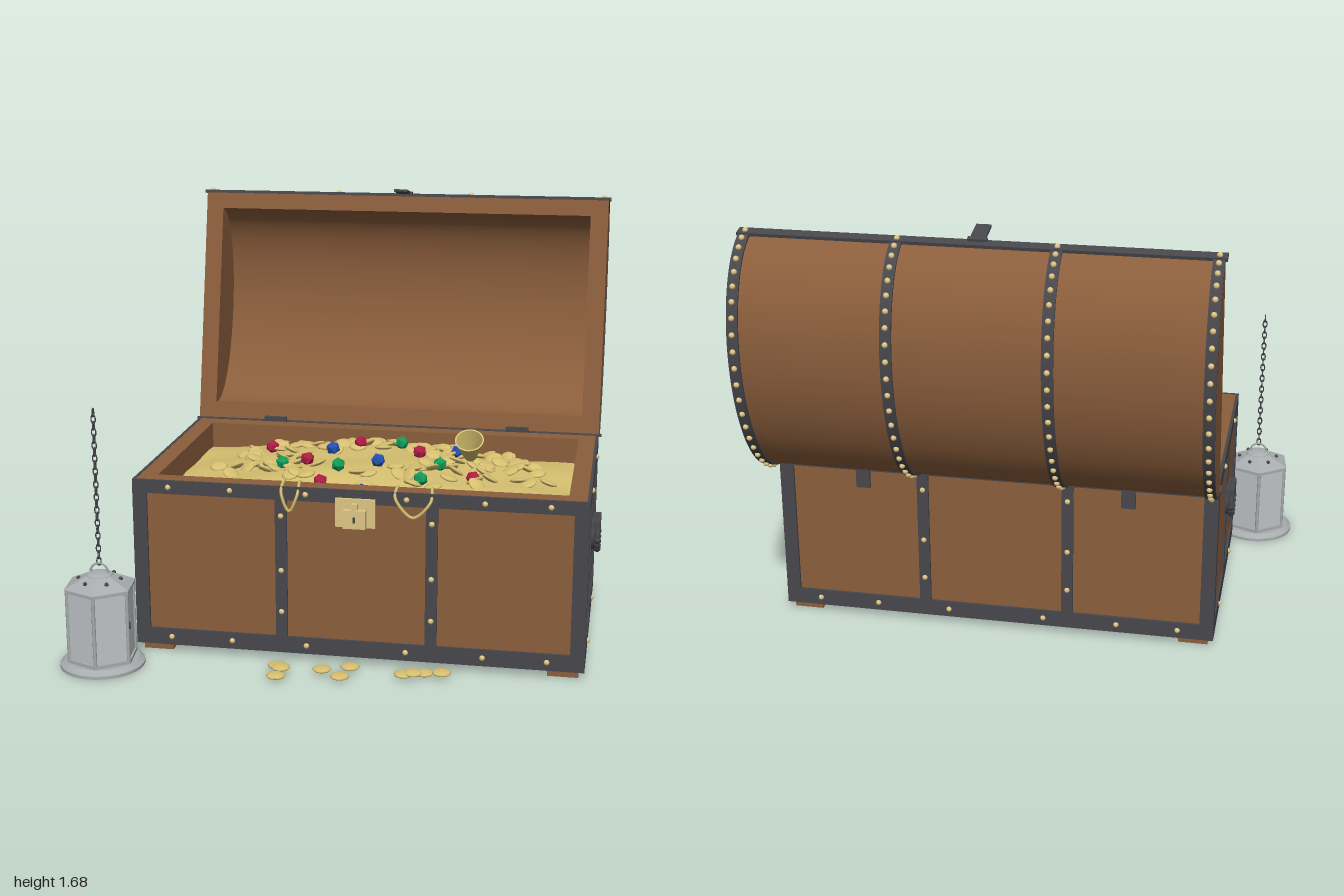
import * as THREE from 'three';
import { toCreasedNormals } from 'three/addons/utils/BufferGeometryUtils.js';

const mat = (name, color, extra = {}) => {
  const m = new THREE.MeshStandardMaterial({ color, ...extra });
  m.name = name;
  return m;
};
const wood = mat('wood', 0x8b5e3c);
const iron = mat('iron', 0x47474c);
const gold = mat('gold', 0xd6bf70, { side: THREE.DoubleSide });
const brass = mat('brass', 0xe0c684);
const silver = mat('silver', 0xa9acae);
const glass = mat('glass', 0xc0c5c8);
const ruby = mat('ruby', 0xb01c44);
const emerald = mat('emerald', 0x129c58);
const sapphire = mat('sapphire', 0x2450b4);

function add(parent, name, geo, material, x = 0, y = 0, z = 0) {
  const m = new THREE.Mesh(geo, material);
  m.name = name;
  m.position.set(x, y, z);
  parent.add(m);
  return m;
}
const box = (p, name, m, w, h, d, x, y, z) => add(p, name, new THREE.BoxGeometry(w, h, d), m, x, y, z);
function group(parent, name, x = 0, y = 0, z = 0) {
  const g = new THREE.Group();
  g.name = name;
  g.position.set(x, y, z);
  parent.add(g);
  return g;
}
let seed = 7;
const rnd = () => (seed = (seed * 16807) % 2147483647) / 2147483647;

const HW = 0.86, HD = 0.481;          // half width and depth of the chest
const Y0 = 0.03, Y1 = 0.69;           // bottom and top of the box
const rivetGeo = new THREE.SphereGeometry(0.011, 10, 6);
const coinGeo = new THREE.SphereGeometry(0.036, 16, 8).scale(1, 0.28, 1);

function buildBox(chest) {
  const h = Y1 - Y0, cy = (Y0 + Y1) / 2, w = HW - 0.01, d = HD - 0.01, t = 0.07;
  box(chest, 'floor', wood, 2 * w, 0.05, 2 * d, 0, Y0 + 0.026, 0);
  for (const s of [-1, 1]) {
    box(chest, 'longWall', wood, 2 * w, h - 0.002, t, 0, cy, s * (d - t / 2));
    box(chest, 'endWall', wood, t, h - 0.002, 2 * (d - t), s * (w - t / 2), cy, 0);
    // iron bands along the bottom and top
    for (const [bh, y] of [[0.065, Y0 + 0.0325], [0.052, Y1 - 0.026]]) {
      box(chest, 'longBand', iron, 2 * HW, bh, 0.012, 0, y, s * (HD - 0.006));
      box(chest, 'endBand', iron, 0.012, bh, 2 * HD, s * (HW - 0.006), y, 0);
      for (const x of [-0.72, -0.48, -0.19, 0.19, 0.48, 0.72]) add(chest, 'rivet', rivetGeo, brass, x, y, s * HD);
      for (const z of [-0.237, 0.237]) add(chest, 'rivet', rivetGeo, brass, s * HW, y, z);
    }
    // upright straps
    for (const x of [-0.285, 0.285]) {
      box(chest, 'strap', iron, 0.045, h, 0.012, x, cy, s * (HD - 0.006));
      for (const y of [0.195, 0.36, 0.575]) add(chest, 'rivet', rivetGeo, brass, x, y, s * HD);
    }
    box(chest, 'endStrap', iron, 0.012, h, 0.045, s * (HW - 0.006), cy, 0);
    for (const q of [-1, 1]) {
      box(chest, 'cornerFront', iron, 0.055, h, 0.012, s * (HW - 0.0275), cy, q * (HD - 0.006));
      box(chest, 'cornerSide', iron, 0.012, h, 0.055, s * (HW - 0.006), cy, q * (HD - 0.0275));
      add(chest, 'foot', new THREE.BoxGeometry(0.115, 0.032, 0.115), wood, s * 0.78, 0.016, q * 0.4);
    }
    // ring handle on a round plate
    const handle = group(chest, 'handle', s * HW, 0.42, 0);
    handle.rotation.y = s * Math.PI / 2;
    add(handle, 'plate', new THREE.CylinderGeometry(0.062, 0.066, 0.012, 24).rotateX(Math.PI / 2), iron, 0, 0, 0.004);
    add(handle, 'ring', new THREE.TorusGeometry(0.06, 0.011, 8, 28), iron, 0, 0, 0.02);
    box(handle, 'bracket', iron, 0.13, 0.03, 0.03, 0, 0.05, 0.016);
    for (let i = 0; i < 9; i++) {
      const a = Math.PI + (i + 0.5) * Math.PI / 9;
      add(handle, 'knob', new THREE.SphereGeometry(0.014, 8, 6), iron, 0.061 * Math.cos(a), 0.061 * Math.sin(a), 0.02);
    }
    // hinges at the back
    box(chest, 'hingePlate', iron, 0.055, 0.12, 0.012, s * 0.52, 0.63, -HD - 0.004);
    box(chest, 'hingeLeaf', iron, 0.095, 0.018, 0.02, s * 0.52, 0.7, -HD + 0.008);
  }
  // lock
  const lock = group(chest, 'lock', 0, 0.605, HD);
  box(lock, 'lockPlate', brass, 0.15, 0.11, 0.014, 0, 0, 0.005);
  box(lock, 'lockBox', brass, 0.085, 0.07, 0.03, 0, -0.018, 0.022);
  box(lock, 'lockLoop', brass, 0.022, 0.025, 0.025, 0, 0.028, 0.02);
  box(lock, 'keyhole', iron, 0.008, 0.022, 0.004, 0, -0.018, 0.037);
}

// half-ellipse bow of the lid, extruded along x
const A = 0.49, B = 0.307;
function bow(parent, name, material, x, width, outer, inner) {
  const s = new THREE.Shape();
  s.absellipse(0, A, B + outer, A + outer, -Math.PI / 2, Math.PI / 2, false);
  if (inner !== null) s.absellipse(0, A, B + inner, A + inner, Math.PI / 2, -Math.PI / 2, true);
  const g = new THREE.ExtrudeGeometry(s, { depth: width, bevelEnabled: false, curveSegments: 40 });
  g.rotateY(Math.PI / 2);
  add(parent, name, toCreasedNormals(g, 0.5), material, x - width / 2);
}

function buildLid(chest) {
  const lid = group(chest, 'lid', 0, Y1, -HD);
  lid.rotation.x = -0.22;
  bow(lid, 'lidShell', wood, 0, 2 * HW - 0.14, 0, -0.07);
  for (const s of [-1, 1]) bow(lid, 'lidEnd', wood, s * (HW - 0.036), 0.072, 0, null);
  for (const x of [-0.842, -0.285, 0.285, 0.842]) {
    bow(lid, 'lidStrap', iron, x, 0.042, 0.008, -0.004);
    for (let i = 0; i < 24; i++) {
      const a = -Math.PI / 2 + (i + 0.5) * Math.PI / 24;
      add(lid, 'lidRivet', rivetGeo, brass, x, A + (A + 0.01) * Math.sin(a), -(B + 0.01) * Math.cos(a));
    }
  }
  // iron edges and hasp
  for (const y of [0.982, -0.002]) box(lid, 'lidEdge', iron, 2 * HW + 0.02, 0.012, 0.042, 0, y, -0.02);
  const hasp = box(lid, 'hasp', iron, 0.055, 0.01, 0.12, 0, 0.99, 0.045);
  hasp.rotation.x = 0.02;
  box(lid, 'haspHinge', iron, 0.07, 0.018, 0.02, 0, 0.988, -0.005);
}

// height of the treasure heap
const heap = (x, z) => {
  const u = x / 0.78, v = z / 0.405;
  return 0.585 + 0.09 * (1 - u * u) * (1 - v ** 4) + 0.008 * Math.sin(x * 11 + z * 5) * Math.cos(z * 13 - x * 4);
};

function buildTreasure(chest) {
  const g = new THREE.PlaneGeometry(1.56, 0.81, 48, 28).rotateX(-Math.PI / 2);
  const p = g.attributes.position;
  for (let i = 0; i < p.count; i++) p.setY(i, heap(p.getX(i), p.getZ(i)));
  g.computeVertexNormals();
  add(chest, 'goldHeap', g, gold);

  const coins = group(chest, 'coins');
  for (let i = 0; i < 130; i++) {
    const a = rnd() * Math.PI * 2, r = 0.3 + 0.7 * Math.sqrt(rnd());
    const x = 0.7 * r * Math.cos(a), z = -0.02 + 0.33 * r * Math.sin(a);
    const c = add(coins, 'coin', coinGeo, gold, x, heap(x, z) + 0.008, z);
    c.rotation.set((rnd() - 0.5) * 1.1, 0, (rnd() - 0.5) * 1.1);
  }
  // gems, placed by x and z
  const gems = [
    [ruby, [[-0.35, -0.07], [0.01, -0.11], [0.265, -0.02], [-0.16, 0.145], [0.505, 0.22], [-0.065, 0.365]]],
    [emerald, [[0.175, -0.145], [-0.255, 0.17], [-0.02, 0.23], [0.365, 0.125], [0.315, 0.315]]],
    [sapphire, [[-0.09, -0.03], [0.41, -0.1], [0.125, 0.155], [0.105, 0.405]]],
  ];
  const gemGeo = new THREE.IcosahedronGeometry(0.029, 0);
  for (const [m, list] of gems) for (const [x, z] of list) {
    const gx = x - 0.104, gz = z - 0.062;
    add(chest, m.name, gemGeo, m, gx, heap(gx, gz) + 0.022, gz).rotation.set(x * 9, z * 9, x + z);
  }
  // goblet tipped towards the front
  const goblet = [[0.04, -0.02], [0.012, -0.01], [0.01, 0.02], [0.024, 0.035], [0.057, 0.135], [0.051, 0.135], [0.018, 0.042], [0, 0.04]];
  const cup = add(chest, 'goblet', toCreasedNormals(new THREE.LatheGeometry(goblet.map(([r, y]) => new THREE.Vector2(r, y)), 24), 0.6), gold, 0.371, 0.668, -0.05);
  cup.rotation.x = 0.6;
  // necklaces draped over the front edge
  for (const [x0, x1] of [[-0.28, -0.22], [0.15, 0.28]]) {
    const pts = [[x0, 0.66, 0.37], [x0, 0.7, 0.44], [x0, 0.67, 0.492], [(x0 + x1) / 2, 0.6, 0.494], [x1, 0.66, 0.492], [x1, 0.7, 0.44], [x1, 0.66, 0.37]];
    const curve = new THREE.CatmullRomCurve3(pts.map((q) => new THREE.Vector3(...q)));
    add(chest, 'necklace', new THREE.TubeGeometry(curve, 40, 0.006, 6), gold);
  }
}

function buildLantern(root) {
  const l = group(root, 'lantern', -0.845, 0, 0.695);
  const v = (pts) => pts.map(([r, y]) => new THREE.Vector2(r, y));
  const base = new THREE.LatheGeometry(v([[0, 0], [0.16, 0], [0.16, 0.012], [0.14, 0.028], [0, 0.028]]), 36);
  add(l, 'base', toCreasedNormals(base, 0.4), silver);
  const hex = group(l, 'cage');
  hex.rotation.y = 0.12;
  add(hex, 'panes', toCreasedNormals(new THREE.CylinderGeometry(0.13, 0.13, 0.29, 6), 0.3), glass, 0, 0.17, 0);
  for (const y of [0.034, 0.312]) add(hex, 'rail', toCreasedNormals(new THREE.CylinderGeometry(0.138, 0.138, 0.014, 6), 0.3), silver, 0, y, 0);
  add(hex, 'roof', toCreasedNormals(new THREE.CylinderGeometry(0.05, 0.14, 0.04, 6), 0.3), silver, 0, 0.338, 0);
  for (let i = 0; i < 6; i++) {
    const a = i * Math.PI / 3;
    add(hex, 'post', new THREE.CylinderGeometry(0.007, 0.007, 0.29, 8), silver, 0.13 * Math.sin(a), 0.17, 0.13 * Math.cos(a));
    const b = a + Math.PI / 6;
    add(hex, 'vent', new THREE.SphereGeometry(0.008, 8, 6), iron, 0.08 * Math.sin(b), 0.342, 0.08 * Math.cos(b));
  }
  box(hex, 'latch', iron, 0.01, 0.025, 0.01, 0.118, 0.18, 0.062);
  add(l, 'cap', new THREE.SphereGeometry(0.05, 20, 8, 0, Math.PI * 2, 0, Math.PI / 2).scale(1, 0.25, 1), silver, 0, 0.357, 0);
  add(l, 'bail', new THREE.TorusGeometry(0.035, 0.004, 6, 20, Math.PI), silver, 0, 0.366, 0);
  // chain of alternating links
  const link = new THREE.TorusGeometry(0.0085, 0.0025, 6, 12).scale(1, 1.75, 1);
  for (let i = 0; i < 24; i++) add(l, 'chainLink', link, iron, 0, 0.41 + i * 0.0249, 0).rotation.y = (i % 2) * Math.PI / 2;
}

export function createModel() {
  const root = new THREE.Group();
  root.name = 'treasureChest';
  const chest = group(root, 'chest', 0.104, 0, 0.062);
  buildBox(chest);
  buildLid(chest);
  buildTreasure(chest);
  buildLantern(root);
  // coins spilled on the ground
  const spilled = [[-0.18, 0.63], [-0.16, 0.66], [-0.165, 0.725], [-0.005, 0.65], [0.07, 0.69], [0.095, 0.61], [0.3, 0.63], [0.335, 0.625], [0.375, 0.605], [0.44, 0.605]];
  spilled.forEach(([x, z], i) => { add(root, 'spilledCoin', coinGeo, gold, x, 0.014 + (i % 2) * 0.006, z); });
  return root;
}
